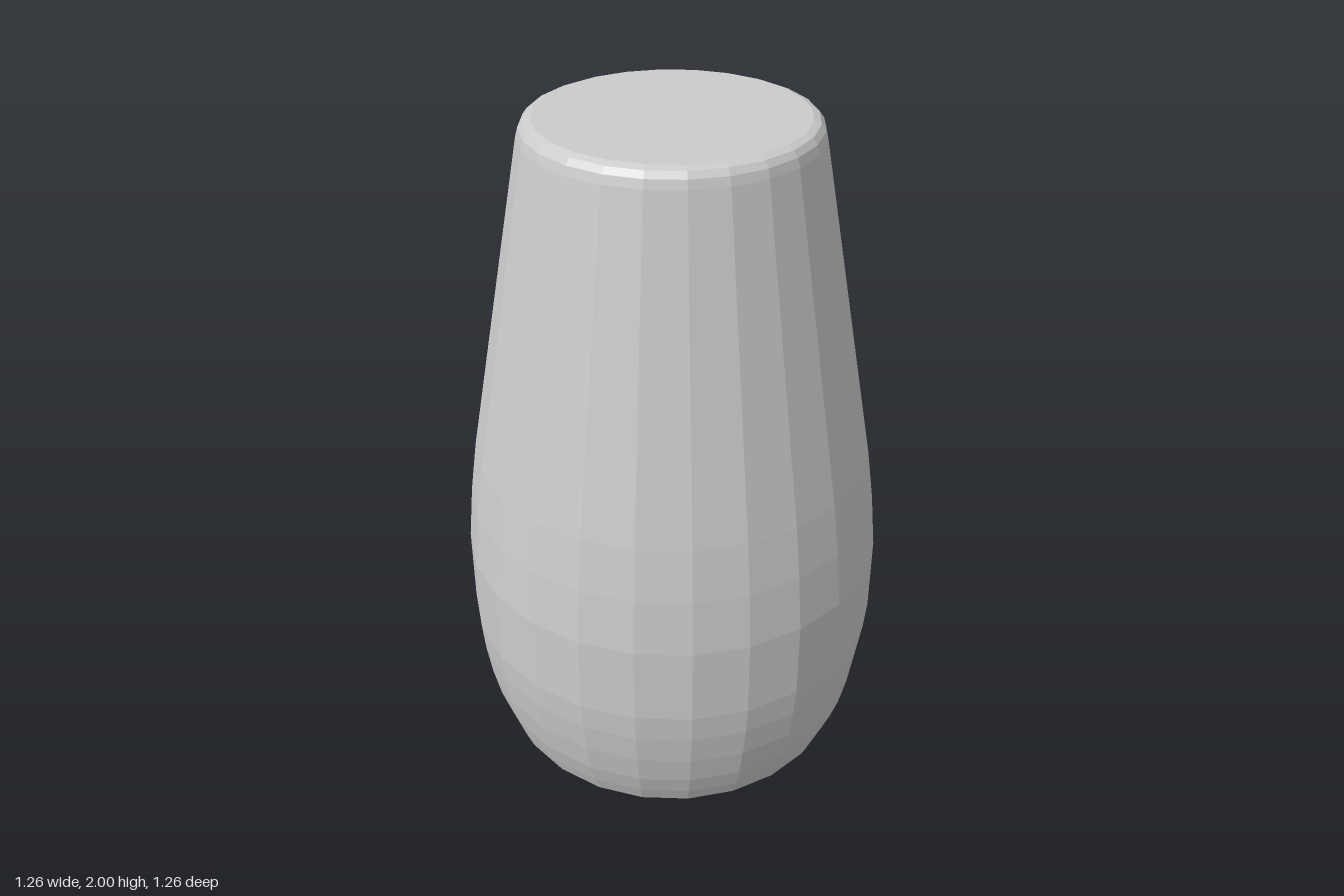
import * as THREE from 'three';

// Outline from the centre of the base up to the centre of the top: [radius, height]
const PROFILE = [
  [0, 0], [0.525, 0], [0.54, 0.015], [0.562, 0.07], [0.585, 0.14], [0.607, 0.24],
  [0.622, 0.34], [0.63, 0.43], [0.63, 0.67], [0.613, 0.84], [0.59, 1.0],
  [0.415, 1.95], [0.408, 1.975], [0.395, 1.992], [0.375, 2], [0, 2],
];

export function createModel() {
  const group = new THREE.Group();
  group.name = 'taperedVessel';

  // Solid faceted body with rounded belly, tapered neck and bevelled rims
  const points = PROFILE.map(([r, y]) => new THREE.Vector2(r, y));
  const body = new THREE.Mesh(
    new THREE.LatheGeometry(points, 24),
    new THREE.MeshStandardMaterial({ color: 0xcccccc, flatShading: true })
  );
  body.name = 'body';
  group.add(body);
  return group;
}
